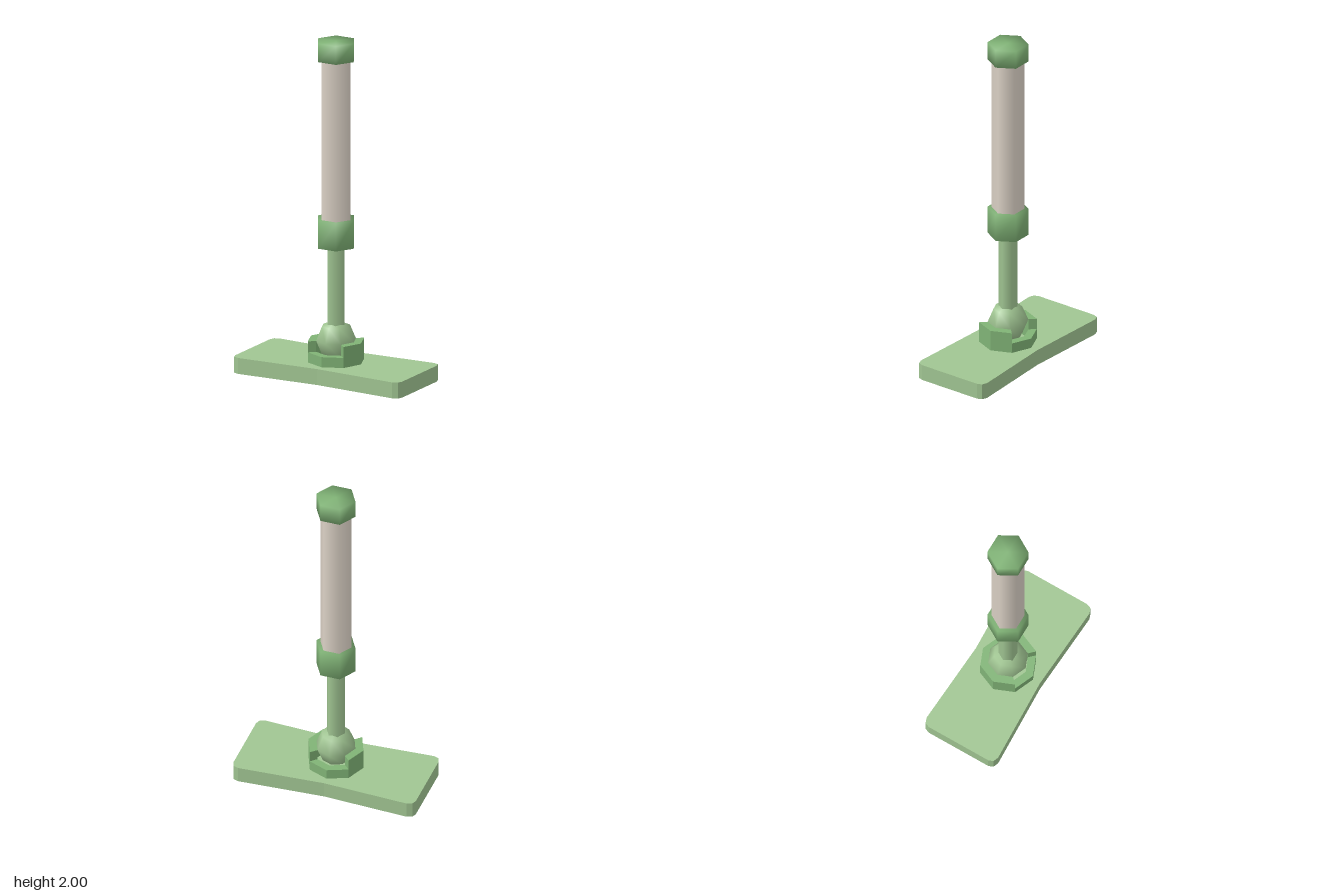
import * as THREE from 'three';
import { mergeVertices } from 'three/addons/utils/BufferGeometryUtils.js';

const material = (name, color) => new THREE.MeshStandardMaterial({ name, color });

export function createModel() {
  const group = new THREE.Group();
  const paleGreen = material('pale green', 0xa0c592);
  const midGreen = material('mid green', 0x80b376);
  const beige = material('warm beige', 0xddd3c7);

  const add = (name, geometry, mat, y = 0) => {
    const mesh = new THREE.Mesh(geometry, mat);
    mesh.name = name;
    mesh.position.y = y;
    group.add(mesh);
  };

  // Flat polygon in x/z raised to a height
  const slab = (points, depth) =>
    new THREE.ExtrudeGeometry(
      new THREE.Shape(points.map(([x, z]) => new THREE.Vector2(x, z))),
      { depth, bevelEnabled: false }
    ).rotateX(-Math.PI / 2);

  // Six-sided cylinder with corners on the x axis
  const hex = (radius, height, open) =>
    new THREE.CylinderGeometry(radius, radius, height, 6, 1, open, Math.PI / 2);

  // Share the normals across every edge for a soft look
  const soften = (geometry) => {
    geometry.deleteAttribute('normal');
    geometry.deleteAttribute('uv');
    const merged = mergeVertices(geometry, 1e-4);
    merged.computeVertexNormals();
    return merged;
  };

  // Foot plate: waisted, with clipped corners
  const corner = [[0.555, 0.198], [0.544, 0.227], [0.512, 0.239]];
  const half = [
    ...corner,
    [0, 0.213],
    ...corner.map(([x, z]) => [-x, z]).reverse(),
  ];
  add('footPlate', slab([...half, ...half.map(([x, z]) => [-x, -z])], 0.095), paleGreen);

  // Octagonal socket: tall walls at the sides, low walls front and back
  const polar = (r, a) => [r * Math.cos(a), r * Math.sin(a)];
  const names = ['socketLeftWall', 'socketBackWall', 'socketRightWall', 'socketFrontWall'];
  names.forEach((name, i) => {
    const angles = [-1, 0, 1].map((k) => (i * 2 + k) * Math.PI / 4);
    const outer = angles.map((a) => polar(0.167, a));
    const inner = angles.map((a) => polar(0.118, a)).reverse();
    add(name, slab([...outer, ...inner], i % 2 ? 0.06 : 0.125), midGreen, 0.095);
  });

  // Ball joint and rod
  add('ballJoint', soften(new THREE.SphereGeometry(0.118, 8, 4)), paleGreen, 0.22);
  add('rod', hex(0.055, 0.58, true), paleGreen, 0.51);

  // Cylinder tube with a collar at each end
  add('tube', hex(0.095, 1.08, true), beige, 1.41);
  add('lowerCollar', soften(hex(0.118, 0.167)), midGreen, 0.861);
  add('upperCollar', soften(hex(0.118, 0.11)), midGreen, 1.945);

  return group;
}
